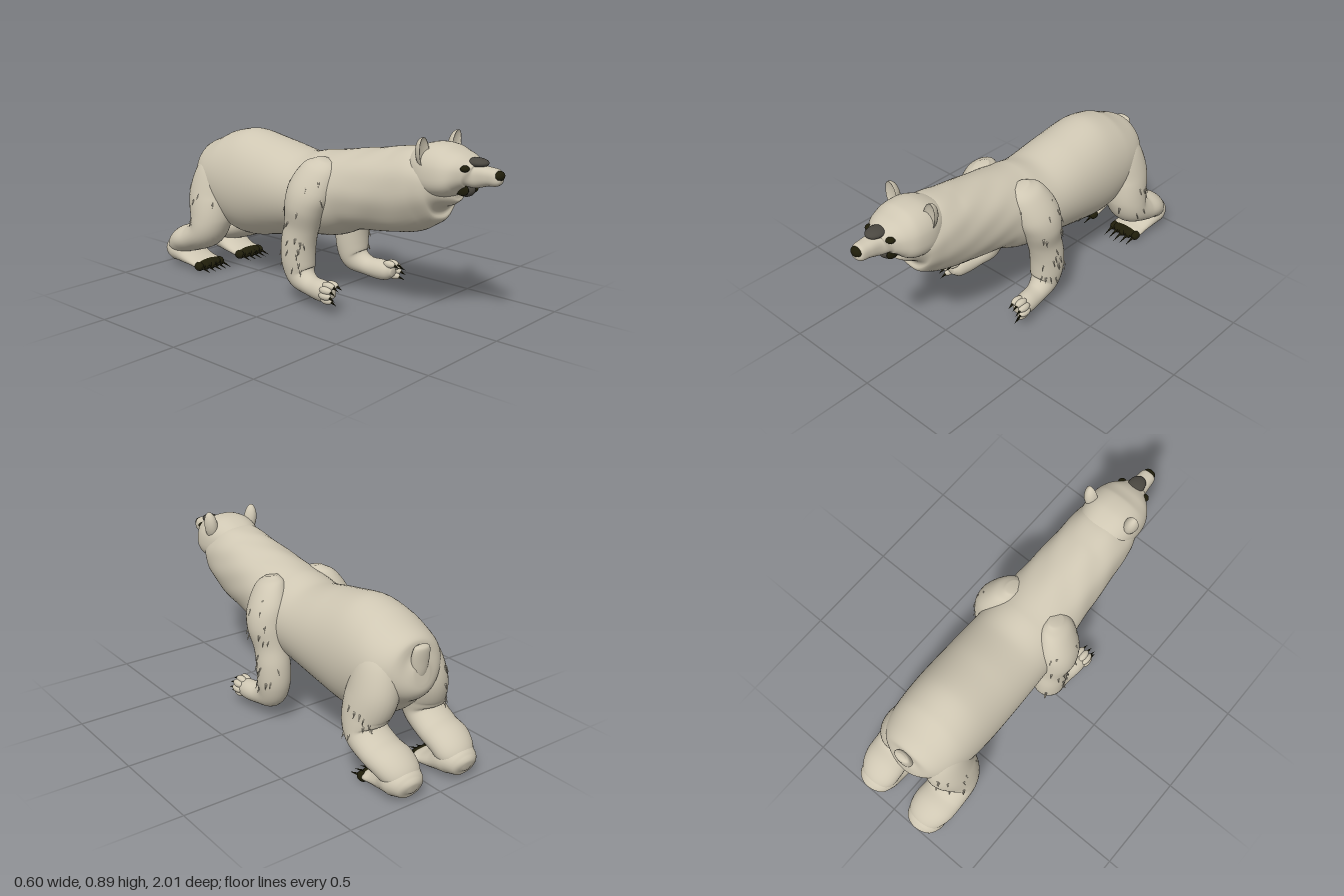
import * as THREE from 'three';

const material = (name, color) => {
  const m = new THREE.MeshStandardMaterial({ color });
  m.name = name;
  return m;
};
const bend = (v, power) => Math.sign(v) * Math.abs(v) ** power;

// Smooth closed skin through oval stations [x, y, z, halfWidth, halfDepth, egg].
// egg > 0 makes the lower side wider, power < 1 squares the oval,
// and a ripple function may vary the radius.
function makeLoft(stations, { s = 1, power = 1, ripple = () => 0 } = {}) {
  const path = new THREE.CatmullRomCurve3(stations.map(p => new THREE.Vector3(p[0] * s, p[1], p[2])), false, 'catmullrom');
  const size = new THREE.CatmullRomCurve3(stations.map(p => new THREE.Vector3(p[3], p[4], p[5] || 0)), false, 'catmullrom');
  return (t, angle) => {
    const p = path.getPoint(t), r = size.getPoint(t);
    const d = path.getPoint(Math.min(1, t + 0.002)).sub(path.getPoint(Math.max(0, t - 0.002)));
    const k = 1 + ripple(p.z, angle), len = Math.hypot(d.y, d.z) || 1;
    const a = r.x * k * bend(Math.cos(angle), power) * (1 - r.z * Math.sin(angle));
    const b = r.y * k * bend(Math.sin(angle), power);
    return new THREE.Vector3(p.x + a, p.y + b * d.z / len, p.z - b * d.y / len);
  };
}

function loftGeometry(surface, rings = 60, sides = 36) {
  const pos = [], index = [];
  for (let i = 0; i <= rings; i++)
    for (let j = 0; j < sides; j++) pos.push(...surface(i / rings, j / sides * Math.PI * 2).toArray());
  for (const t of [0, 1]) {
    const c = surface(t, 0).add(surface(t, Math.PI)).multiplyScalar(0.5);
    pos.push(...c.toArray());
  }
  const first = (rings + 1) * sides, last = first + 1, end = rings * sides;
  for (let j = 0; j < sides; j++) {
    const k = (j + 1) % sides;
    for (let i = 0; i < rings; i++) {
      const a = i * sides + j, b = i * sides + k;
      index.push(a, b, a + sides, b, b + sides, a + sides);
    }
    index.push(first, k, j, last, end + j, end + k);
  }
  const g = new THREE.BufferGeometry();
  g.setAttribute('position', new THREE.Float32BufferAttribute(pos, 3));
  g.setIndex(index);
  g.computeVertexNormals();
  return g;
}

export function createModel() {
  const model = new THREE.Group();
  model.name = 'bear';
  const fur = material('cream fur', 0xcfc7b3);
  const dark = material('dark claw', 0x1f1d0a);
  const grey = material('grey skin', 0x4a4740);

  const add = (name, geometry, mat, parent = model) => {
    const m = new THREE.Mesh(geometry, mat);
    m.name = name;
    parent.add(m);
    return m;
  };
  const ball = (name, mat, at, scale, parent) => {
    const m = add(name, new THREE.SphereGeometry(1, 24, 16), mat, parent);
    m.position.set(...at);
    m.scale.set(...scale);
    return m;
  };
  const up = new THREE.Vector3(0, 1, 0);
  const spike = (name, mat, base, dir, radius, length, parent) => {
    const g = new THREE.ConeGeometry(radius, length, 6).translate(0, length / 2, 0);
    const m = add(name, g, mat, parent);
    m.position.copy(base);
    m.quaternion.setFromUnitVectors(up, dir.normalize());
  };
  let seed = 7;
  const rand = () => (seed = (seed * 16807) % 2147483647) / 2147483647;

  // Torso and deep neck, with soft folds of mane toward the front
  const folds = (z, a) => 0.014 * THREE.MathUtils.smoothstep(z, 0, 0.3) * Math.sin(7 * a + 11 * z) * Math.cos(17 * z + 2 * Math.sin(a));
  const torso = makeLoft([
    [0, 0.52, -0.85, 0.04, 0.05], [0, 0.515, -0.82, 0.13, 0.13], [0, 0.515, -0.75, 0.19, 0.185],
    [0, 0.505, -0.65, 0.215, 0.245], [0, 0.495, -0.5, 0.225, 0.28], [0, 0.497, -0.3, 0.225, 0.248],
    [0, 0.502, -0.1, 0.22, 0.208], [0, 0.525, 0.05, 0.215, 0.21, 0.05], [0, 0.56, 0.18, 0.2, 0.195],
    [0, 0.583, 0.32, 0.187, 0.196, -0.05], [0, 0.609, 0.48, 0.175, 0.2, -0.08], [0, 0.643, 0.6, 0.165, 0.185, -0.08],
    [0, 0.66, 0.69, 0.145, 0.145, -0.05], [0, 0.645, 0.755, 0.085, 0.07], [0, 0.645, 0.775, 0.03, 0.03]], { ripple: folds });
  add('torso', loftGeometry(torso, 110, 56), fur);

  // Head and muzzle
  const head = makeLoft([
    [0, 0.73, 0.54, 0.06, 0.05], [0, 0.735, 0.575, 0.115, 0.09, 0.1], [0, 0.735, 0.65, 0.145, 0.118, 0.12],
    [0, 0.735, 0.74, 0.146, 0.115, 0.14], [0, 0.74, 0.8, 0.124, 0.086, 0.12], [0, 0.737, 0.842, 0.085, 0.062, 0.08],
    [0, 0.73, 0.872, 0.052, 0.053], [0, 0.735, 0.93, 0.043, 0.041], [0, 0.735, 0.972, 0.037, 0.036],
    [0, 0.738, 0.99, 0.015, 0.015]], { power: 0.82 });
  add('head', loftGeometry(head, 70, 48), fur);
  ball('nose', dark, [0, 0.744, 0.978], [0.031, 0.023, 0.022]);
  ball('bridge', grey, [0, 0.788, 0.868], [0.042, 0.021, 0.052]);
  ball('lower lip', grey, [0, 0.659, 0.812], [0.041, 0.031, 0.042]);
  for (const x of [-0.037, 0.037]) ball('mouth corner', dark, [x, 0.666, 0.813], [0.01, 0.028, 0.038]);

  // Upturned tail
  add('tail', loftGeometry(makeLoft([
    [0, 0.65, -0.842, 0.02, 0.008], [0, 0.635, -0.84, 0.043, 0.022], [0, 0.58, -0.832, 0.048, 0.028],
    [0, 0.51, -0.826, 0.036, 0.026], [0, 0.46, -0.81, 0.012, 0.012]]), 24, 20), fur);

  for (const s of [1, -1]) {
    const side = s > 0 ? 'left' : 'right';

    // Eye and cupped ear
    ball(side + ' eye', dark, [s * 0.066, 0.767, 0.846], [0.023, 0.015, 0.022]);
    const earShape = new THREE.SphereGeometry(1, 24, 18);
    const v = earShape.attributes.position;
    for (let i = 0; i < v.count; i++) if (v.getZ(i) > 0) v.setZ(i, -0.35 * v.getZ(i));
    earShape.scale(0.035, 0.075, 0.045);
    earShape.computeVertexNormals();
    const ear = add(side + ' ear', earShape, fur);
    ear.position.set(s * 0.12, 0.817, 0.672);
    ear.rotation.z = -s * 0.17;

    // Front leg, sloping out from the shoulder, with paw, toes and claws
    const front = new THREE.Group();
    front.name = side + ' front leg';
    model.add(front);
    const foreleg = makeLoft([
      [0.13, 0.715, 0.1, 0.03, 0.04], [0.15, 0.675, 0.09, 0.07, 0.09], [0.182, 0.58, 0.06, 0.098, 0.115],
      [0.2, 0.49, 0.035, 0.097, 0.105], [0.2, 0.39, 0.01, 0.08, 0.09], [0.2, 0.3, -0.01, 0.083, 0.088],
      [0.2, 0.21, -0.012, 0.081, 0.085], [0.2, 0.14, 0.01, 0.07, 0.072], [0.212, 0.107, 0.08, 0.054, 0.05],
      [0.222, 0.1, 0.16, 0.052, 0.052], [0.225, 0.1, 0.21, 0.044, 0.044], [0.226, 0.098, 0.238, 0.02, 0.02]], { s });
    add('foreleg', loftGeometry(foreleg, 70, 32), fur, front);
    for (let i = 0; i < 5; i++) {
      const angle = 1.9 - 0.68 * i;
      const x = s * (0.227 + 0.04 * Math.cos(angle)), y = 0.102 + 0.04 * Math.sin(angle);
      ball('front toe', fur, [x, y, 0.22], [0.019, 0.019, 0.036], front);
      spike('front claw', dark, new THREE.Vector3(x, y, 0.246), new THREE.Vector3(s * 0.1, -0.35, 1), 0.008, 0.042, front);
    }

    // Hind leg with thick heel, dark toes and claws
    const hind = new THREE.Group();
    hind.name = side + ' hind leg';
    model.add(hind);
    const hindleg = makeLoft([
      [0.1, 0.63, -0.67, 0.04, 0.06], [0.118, 0.56, -0.68, 0.085, 0.11], [0.142, 0.42, -0.695, 0.108, 0.132],
      [0.165, 0.3, -0.68, 0.108, 0.114], [0.175, 0.225, -0.7, 0.105, 0.088], [0.172, 0.175, -0.785, 0.108, 0.073],
      [0.167, 0.15, -0.865, 0.11, 0.074], [0.16, 0.105, -0.92, 0.095, 0.068], [0.158, 0.06, -0.925, 0.06, 0.045]], { s });
    add('thigh and shin', loftGeometry(hindleg, 70, 32), fur, hind);
    add('foot', loftGeometry(makeLoft([
      [0.16, 0.07, -0.999, 0.02, 0.02], [0.16, 0.076, -0.98, 0.072, 0.056], [0.16, 0.085, -0.92, 0.1, 0.073],
      [0.153, 0.058, -0.85, 0.094, 0.05], [0.148, 0.04, -0.79, 0.09, 0.034], [0.147, 0.033, -0.745, 0.09, 0.028],
      [0.147, 0.03, -0.715, 0.06, 0.02]], { s }), 42, 28), fur, hind);
    ball('toe pad', dark, [s * 0.147, 0.031, -0.732], [0.085, 0.027, 0.038], hind);
    for (let i = 0; i < 5; i++) {
      const x = 0.147 + (i - 2) * 0.036, z = -0.715 - 0.007 * Math.abs(i - 2);
      ball('hind toe', dark, [s * x, 0.027, z], [0.021, 0.024, 0.03], hind);
      spike('hind claw', dark, new THREE.Vector3(s * x, 0.027, z + 0.018), new THREE.Vector3(0, -0.25, 1), 0.008, 0.075, hind);
    }

    // Loose tufts of fur scattered over the outer faces of the legs
    const tufts = (surface, count, from, to, parent) => {
      for (let i = 0; i < count; i++) {
        const t = from + (to - from) * rand(), a = (s > 0 ? 0 : Math.PI) + (rand() - 0.5) * 2.8;
        const base = surface(t, a), centre = surface(t, 0).add(surface(t, Math.PI)).multiplyScalar(0.5);
        const out = base.clone().sub(centre).normalize();
        base.addScaledVector(out, -0.003);
        spike('fur tuft', fur, base, out.multiplyScalar(0.45).add(new THREE.Vector3(0, -1, 0)), 0.006, 0.034, parent);
      }
    };
    tufts(foreleg, 24, 0.12, 0.6, front);
    tufts(hindleg, 10, 0.2, 0.5, hind);
  }
  return model;
}
